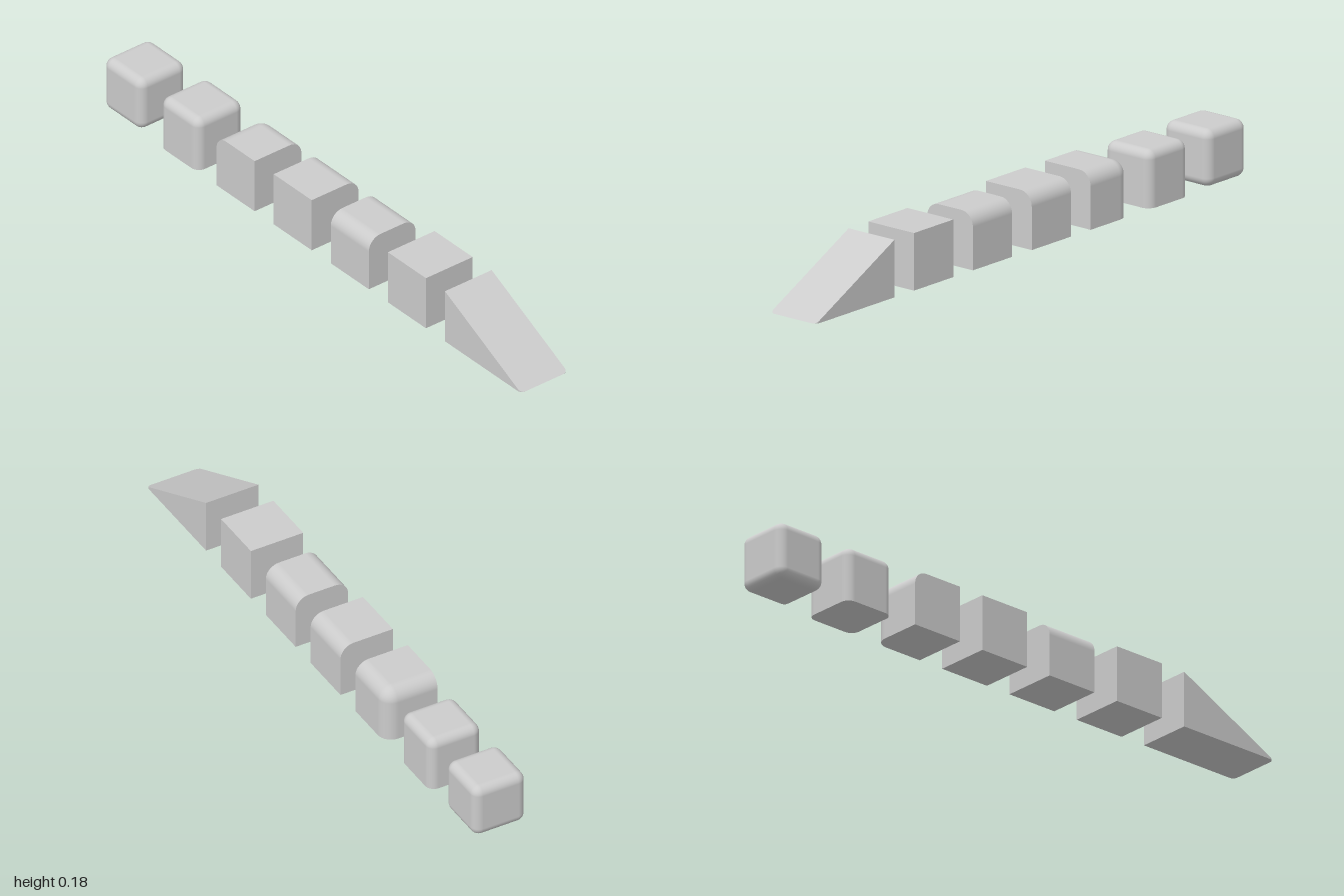
import * as THREE from 'three';

const S = 2 / 11;        // block edge length
const H = S / 2;
const ARC = 4;           // segments per rounded edge

const material = new THREE.MeshStandardMaterial({ color: 0xcccccc });

// Cube whose edges are rounded wherever two listed sides meet, e.g. '+x +y'.
function blockGeometry(sides, r) {
  if (!sides) return new THREE.BoxGeometry(S, S, S);
  const n = 2 * ARC + 1;
  const geo = new THREE.BoxGeometry(S, S, S, n, n, n);
  const pos = geo.attributes.position;
  const nor = geo.attributes.normal;
  const axes = ['x', 'y', 'z'];
  const round = (axis, sign) => sides.includes((sign < 0 ? '-' : '+') + axis);

  // Bunch the even grid lines into the rounding zones
  const remap = (v) => {
    const i = Math.round((v / S + 0.5) * n);
    const steps = Math.min(i, n - i);
    const offset = H - r + r * Math.tan((1 - steps / ARC) * Math.PI / 4);
    return i <= ARC ? -offset : offset;
  };

  const p = new THREE.Vector3(), core = new THREE.Vector3();
  const d = new THREE.Vector3(), normal = new THREE.Vector3();
  for (let i = 0; i < pos.count; i++) {
    p.fromBufferAttribute(pos, i);
    normal.fromBufferAttribute(nor, i);
    let faceRounded = false;
    for (const a of axes) {
      p[a] = remap(p[a]);
      const lo = -H + (round(a, -1) ? r : 0);
      const hi = H - (round(a, 1) ? r : 0);
      core[a] = THREE.MathUtils.clamp(p[a], lo, hi);
      if (Math.abs(normal[a]) > 0.5) faceRounded = round(a, normal[a]);
    }
    // Pull the square rim onto a circular or spherical one
    d.subVectors(p, core);
    const len = d.length();
    if (len > 1e-7) {
      const reach = Math.max(Math.abs(d.x), Math.abs(d.y), Math.abs(d.z));
      d.divideScalar(len);
      if (faceRounded) normal.copy(d);
      p.copy(core).addScaledVector(d, reach);
    }
    pos.setXYZ(i, p.x, p.y, p.z);
    nor.setXYZ(i, normal.x, normal.y, normal.z);
  }
  return geo;
}

// Ramp two blocks long with slightly rounded front corners in plan
function rampGeometry() {
  const r = 0.016, back = 1 - 2 * S;
  const plan = new THREE.Shape();
  plan.moveTo(-H, -back);
  plan.lineTo(-H, -1 + r);
  plan.absarc(-H + r, -1 + r, r, Math.PI, 1.5 * Math.PI);
  plan.lineTo(H - r, -1);
  plan.absarc(H - r, -1 + r, r, 1.5 * Math.PI, 2 * Math.PI);
  plan.lineTo(H, -back);
  plan.closePath();
  const geo = new THREE.ExtrudeGeometry(plan, { depth: S, bevelEnabled: false, curveSegments: 4 });
  geo.rotateX(-Math.PI / 2);
  // Slope the upper face down to the front edge
  const pos = geo.attributes.position;
  for (let i = 0; i < pos.count; i++) {
    if (pos.getY(i) > H) pos.setY(i, (1 - pos.getZ(i)) / 2);
  }
  geo.computeVertexNormals();
  return geo;
}

export function createModel() {
  const group = new THREE.Group();
  const add = (name, geometry) => {
    const mesh = new THREE.Mesh(geometry, material);
    mesh.name = name;
    group.add(mesh);
    return mesh;
  };

  add('ramp', rampGeometry());

  // Blocks from front to back: name, rounded sides, radius
  const wide = 0.25 * S, narrow = 0.16 * S;
  const blocks = [
    ['plainBlock', '', 0],
    ['doubleRoundedBlock', '-x +x +y', wide],
    ['singleRoundedBlock', '+x +y', wide],
    ['cornerRoundedBlock', '+x +y -z', wide],
    ['flatBottomRoundedBlock', '-x +x +y -z +z', narrow],
    ['fullyRoundedBlock', '-x +x -y +y -z +z', narrow],
  ];
  blocks.forEach(([name, sides, radius], i) => {
    add(name, blockGeometry(sides, radius)).position.set(0, H, 1 - S * (3 + 1.5 * i));
  });
  return group;
}
